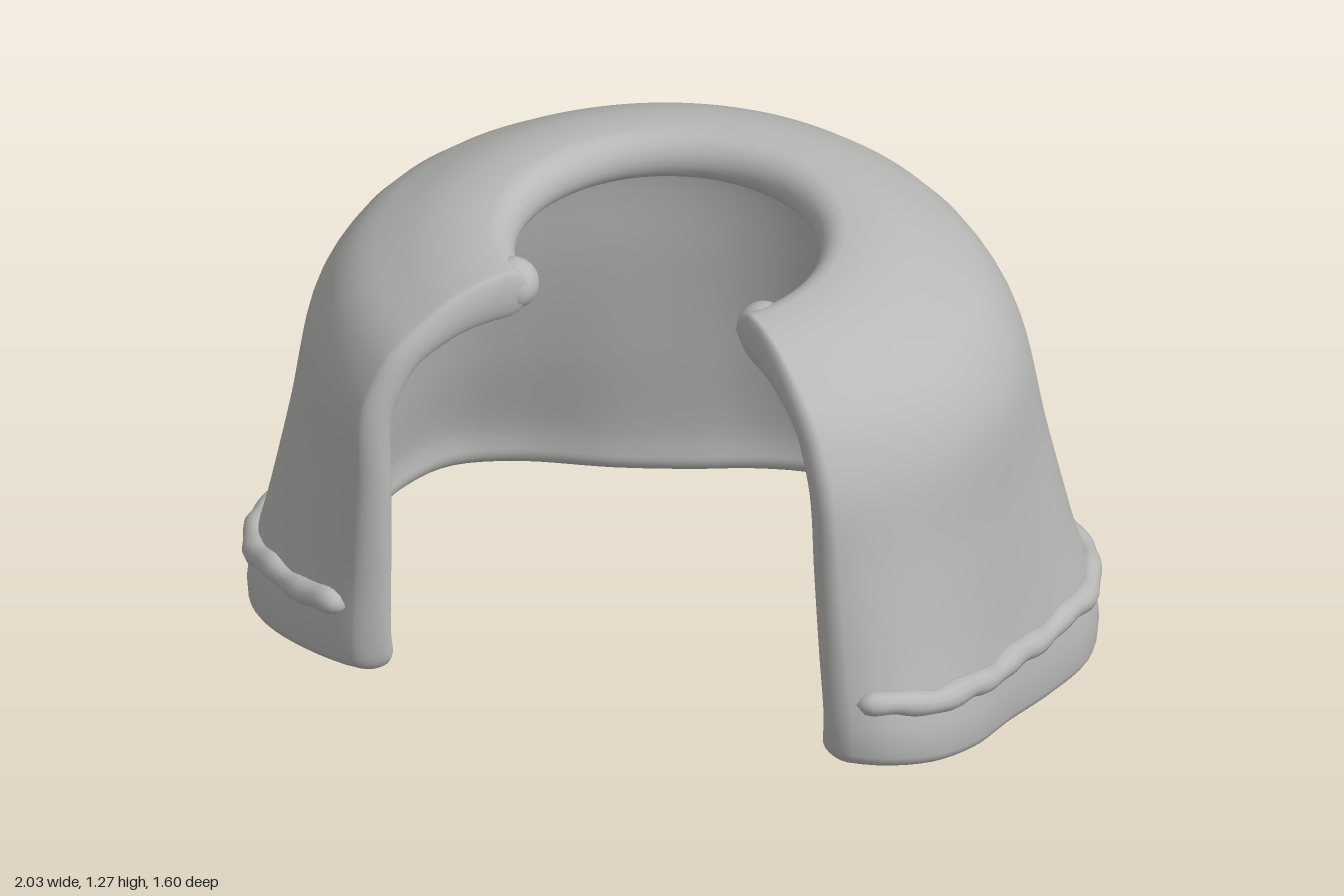
import * as THREE from 'three';
import { mergeVertices } from 'three/addons/utils/BufferGeometryUtils.js';

const CZ = 0.15; // the neck axis sits slightly forward
const NECK_H = 0.066, WALL_H = 0.045; // half thicknesses of the cloth

// Wavy hem outline seen from above, from the right front edge round the back to the left
const hem = new THREE.CatmullRomCurve3([
  [-0.57, 0.73], [-0.66, 0.71], [-0.85, 0.58], [-0.965, 0.43], [-1, 0.27], [-0.955, 0.05],
  [-0.92, -0.15], [-0.88, -0.35], [-0.8, -0.5], [-0.65, -0.59], [-0.4, -0.655], [-0.2, -0.72],
  [-0.05, -0.775], [0.1, -0.8], [0.25, -0.775], [0.4, -0.69], [0.52, -0.58], [0.66, -0.485],
  [0.85, -0.36], [0.96, -0.23], [1, -0.07], [0.97, 0.1], [0.92, 0.3], [0.89, 0.5],
  [0.83, 0.66], [0.73, 0.76], [0.62, 0.79],
].map(([x, z]) => new THREE.Vector3(x, 0, z)), false, 'centripetal');
hem.arcLengthDivisions = 600;
const HEM_LENGTH = hem.getLength();

const lerp = THREE.MathUtils.lerp;
const hemHeight = z => 0.068 + 0.085 * z + 0.19 * Math.max(z, 0) ** 2;
// Half-circle falloff at distance d from an end
const round = (d, h) => (d >= h ? 1 : Math.sqrt(Math.max(0, 1 - (1 - d / h) ** 2)));

// Distances along a length, packed closely at both rounded ends
function spacing(length, h0, h1, middle) {
  const out = [], n = 6;
  for (let k = 0; k < n; k++) out.push(h0 * (1 - Math.cos(k / n * Math.PI / 2)));
  for (let k = 0; k <= middle; k++) out.push(lerp(h0, length - h1, k / middle));
  for (let k = n - 1; k >= 0; k--) out.push(length - h1 * (1 - Math.cos(k / n * Math.PI / 2)));
  return out;
}

// Direction, hem radius and shoulder radius at a distance along the hem
function station(d) {
  const p = hem.getPointAt(Math.min(1, Math.max(0, d / HEM_LENGTH)));
  const H = Math.hypot(p.x, p.z - CZ);
  const dx = p.x / H, dz = (p.z - CZ) / H;
  return { H, dx, dz, z: p.z, shoulder: 0.8 + 0.07 * dx ** 4 };
}

const shoulderRadius = s => 0.365 + 0.46 * (s.shoulder - 0.365) / 0.505;
const wallRadius = (s, t) => lerp(shoulderRadius(s), s.H - WALL_H, Math.min(1, t / 0.9) ** 1.1);

// Middle line of the cloth from collar to hem, as radius and height
function profile(s, endFactor) {
  const k = (s.shoulder - 0.365) / 0.505;
  const bottom = hemHeight(s.z) + 0.04 * (1 - endFactor);
  const pts = [[0.365, 1.205], [0.47, 1.207], [0.56, 1.193], [0.635, 1.165], [0.735, 1.11], [0.785, 1.045], [0.825, 0.955]]
    .map(([r, y]) => new THREE.Vector3(0.365 + (r - 0.365) * k, y, 0));
  for (const t of [0.3, 0.6, 0.9]) {
    pts.push(new THREE.Vector3(wallRadius(s, t), lerp(0.955, bottom, t), 0));
  }
  pts.push(new THREE.Vector3(s.H - WALL_H - 0.012, bottom, 0));
  return new THREE.CatmullRomCurve3(pts, false, 'centripetal');
}

// Thick cloth shell with rounded collar, hem and front edges
function capeGeometry() {
  const rings = spacing(HEM_LENGTH, WALL_H, WALL_H, 120);
  const pos = [], idx = [];
  let M = 0;
  for (const d of rings) {
    const s = station(d);
    const e = round(Math.min(d, HEM_LENGTH - d), WALL_H);
    const curve = profile(s, e), L = curve.getLength();
    const outer = [], inner = [];
    for (const a of spacing(L, NECK_H, WALL_H, 34)) {
      const p = curve.getPointAt(a / L), t = curve.getTangentAt(a / L);
      const thick = lerp(NECK_H, WALL_H, THREE.MathUtils.smoothstep(a, 0.05, 0.35));
      const h = e * thick * round(a, NECK_H) * round(L - a, WALL_H);
      outer.push([p.x - t.y * h, p.y + t.x * h]);
      inner.push([p.x + t.y * h, p.y - t.x * h]);
    }
    const loop = [...outer, ...inner.slice(1, -1).reverse()];
    M = loop.length;
    for (const [r, y] of loop) pos.push(s.dx * r, y, CZ + s.dz * r);
  }
  for (let i = 0; i < rings.length - 1; i++) {
    for (let j = 0; j < M; j++) {
      const a = i * M + j, b = i * M + (j + 1) % M;
      idx.push(a, a + M, b, b, a + M, b + M);
    }
  }
  let g = new THREE.BufferGeometry();
  g.setAttribute('position', new THREE.Float32BufferAttribute(pos, 3));
  g.setIndex(idx);
  g = mergeVertices(g, 1e-5);
  g.computeVertexNormals();
  return g;
}

// Slightly lumpy cord running above the hem, tapered at both ends
function cordGeometry() {
  const pts = [];
  for (let i = 0; i <= 90; i++) {
    const s = station(lerp(0.06, HEM_LENGTH - 0.06, i / 90));
    const bottom = hemHeight(s.z);
    const y = bottom + 0.215 - 0.04 * Math.max(0, s.z) + 0.005 * Math.sin(i * 1.3);
    const r = wallRadius(s, (0.955 - y) / (0.955 - bottom)) + WALL_H + 0.006;
    pts.push(new THREE.Vector3(s.dx * r, y, CZ + s.dz * r));
  }
  const path = new THREE.CatmullRomCurve3(pts);
  path.arcLengthDivisions = 400;
  const N = 240, S = 12, L = path.getLength();
  const g = new THREE.TubeGeometry(path, N, 0.032, S, false);
  const p = g.attributes.position, v = new THREE.Vector3();
  for (let i = 0; i <= N; i++) {
    const c = path.getPointAt(i / N), d = Math.min(i, N - i) / N * L;
    const f = round(d, 0.07) * (1 + 0.08 * Math.sin(i * 0.9) + 0.06 * Math.sin(i * 0.37));
    for (let j = 0; j <= S; j++) {
      const k = i * (S + 1) + j;
      v.fromBufferAttribute(p, k).sub(c).multiplyScalar(f).add(c);
      p.setXYZ(k, v.x, v.y, v.z);
    }
  }
  g.deleteAttribute('uv');
  g.deleteAttribute('normal');
  const m = mergeVertices(g, 1e-5);
  m.computeVertexNormals();
  return m;
}

export function createModel() {
  const group = new THREE.Group();
  group.name = 'cape';
  const cloth = new THREE.MeshStandardMaterial({ color: 0xb8b8b6 });
  cloth.name = 'greyCloth';
  const add = (name, geometry) => {
    const mesh = new THREE.Mesh(geometry, cloth);
    mesh.name = name;
    group.add(mesh);
    return mesh;
  };

  add('capeCloth', capeGeometry());
  add('hemCord', cordGeometry());

  // Rounded ends of the collar roll
  for (const side of [-1, 1]) {
    const end = add(side > 0 ? 'leftCollarEnd' : 'rightCollarEnd', new THREE.SphereGeometry(0.064, 24, 16));
    end.position.set(side * 0.315, 1.204, 0.385);
  }
  return group;
}
